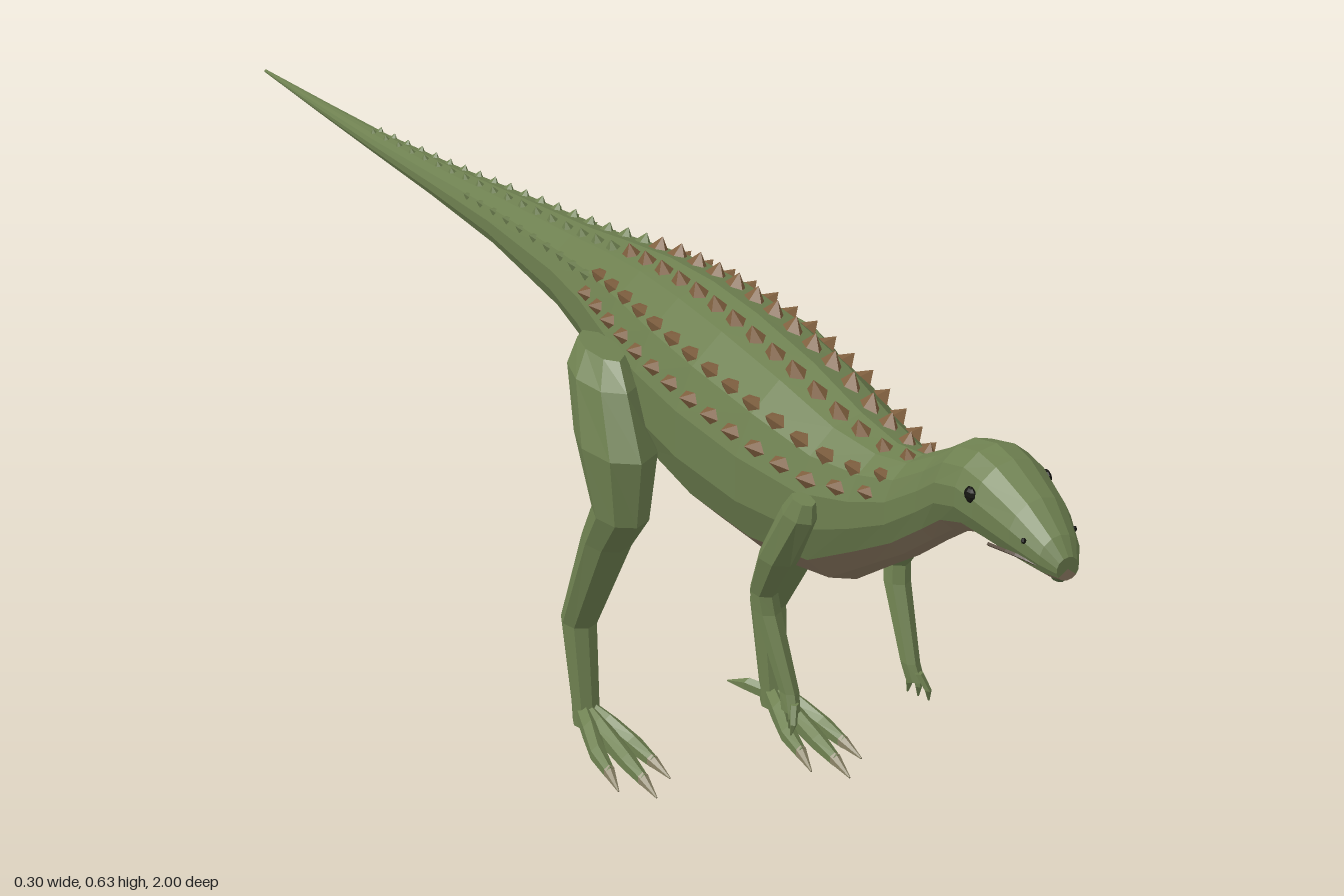
import * as THREE from 'three';
import { mergeGeometries } from 'three/addons/utils/BufferGeometryUtils.js';

const mat = (color) => new THREE.MeshStandardMaterial({ color, flatShading: true });
const SKIN = mat(0x6e8050), BELLY = mat(0x8a7860), SCUTE = mat(0x80603f);
const CLAW = mat(0x8c8468), BEAK = mat(0x5f6f45), DARK = mat(0x14140f), MOUTH = mat(0x4a3a28);

// Body sections from snout to tail tip: z, bottom, top, half width
const BODY = [
  [1, .548, .572, .012], [.985, .545, .588, .022], [.95, .543, .61, .034],
  [.9, .54, .627, .043], [.87, .537, .63, .045], [.83, .52, .618, .043],
  [.79, .49, .59, .038], [.74, .45, .56, .043], [.69, .415, .55, .056],
  [.62, .365, .552, .074], [.52, .34, .565, .09], [.4, .333, .57, .097],
  [.3, .342, .567, .095], [.2, .367, .555, .083], [.1, .393, .535, .065],
  [0, .405, .513, .051], [-.2, .408, .478, .036], [-.4, .397, .442, .025],
  [-.6, .382, .41, .016], [-.8, .368, .384, .009], [-1, .355, .359, .002],
];
const SIDES = 14;

// Skins elliptical rings [x, y, z, ra, rb]; upright rings run towards -z, level rings towards -y
function loft(rings, sides, level = false, from = 0, to = sides) {
  const pos = [], idx = [], n = to - from + 1;
  for (const [x, y, z, ra, rb] of rings) {
    for (let j = from; j <= to; j++) {
      const a = (j / sides) * Math.PI * 2, u = ra * Math.sin(a), v = rb * Math.cos(a);
      if (level) pos.push(x + u, y, z + v);
      else pos.push(x + u, y - v, z);
    }
  }
  const last = (rings.length - 1) * n, c = rings.length * n;
  pos.push(...rings[0].slice(0, 3), ...rings[rings.length - 1].slice(0, 3));
  for (let j = 0; j < n - 1; j++) {
    for (let i = 0; i < rings.length - 1; i++) {
      const a = i * n + j, b = a + n;
      idx.push(a, b, b + 1, a, b + 1, a + 1);
    }
    idx.push(c, j, j + 1, c + 1, last + j + 1, last + j);
  }
  const g = new THREE.BufferGeometry();
  g.setAttribute('position', new THREE.Float32BufferAttribute(pos, 3));
  g.setIndex(idx);
  g.computeVertexNormals();
  return g;
}

function add(parent, name, geometry, material) {
  const m = new THREE.Mesh(geometry, material);
  m.name = name;
  parent.add(m);
  return m;
}

// Body section at any z
function sectionAt(z) {
  let i = 0;
  while (i < BODY.length - 2 && BODY[i + 1][0] > z) i++;
  const a = BODY[i], b = BODY[i + 1], t = (z - a[0]) / (b[0] - a[0]);
  const [bottom, top, w] = [1, 2, 3].map((k) => a[k] + (b[k] - a[k]) * t);
  return { y: (bottom + top) / 2, h: (top - bottom) / 2, w };
}

// One row of keeled scutes at an angle from the spine
function scuteRow(angle, z0, z1, step, size) {
  const list = [];
  for (let z = z0; z > z1; z -= step) {
    const s = sectionAt(z), k = size * (0.4 + 0.6 * Math.min(1, s.w / 0.07));
    const normal = new THREE.Vector3(Math.sin(angle) / s.w, Math.cos(angle) / s.h, 0).normalize();
    const q = new THREE.Quaternion().setFromUnitVectors(new THREE.Vector3(0, 1, 0), normal);
    const g = new THREE.ConeGeometry(k, k * 1.3, 5);
    g.scale(0.85, 1, 1.3);
    g.applyQuaternion(q);
    g.translate(s.w * Math.sin(angle) + normal.x * k * .3, s.y + s.h * Math.cos(angle) + normal.y * k * .3, z);
    list.push(g);
  }
  return mergeGeometries(list);
}

function buildLeg(s) {
  const leg = new THREE.Group();
  leg.name = s > 0 ? 'leftLeg' : 'rightLeg';
  add(leg, 'thighAndShin', loft([
    [.105 * s, .49, .25, .018, .045], [.11 * s, .465, .265, .032, .058], [.112 * s, .4, .3, .04, .062],
    [.112 * s, .32, .312, .029, .04], [.11 * s, .27, .275, .026, .034],
    [.105 * s, .13, .195, .02, .024], [.105 * s, .03, .212, .016, .018], [.105 * s, .008, .215, .016, .018],
  ], 8, true), SKIN);
  // Three forward toes, each ending in a claw
  for (const [dx, reach] of [[-.03, .36], [0, .39], [.03, .36]]) {
    const x = (t) => .105 * s + dx * t;
    add(leg, 'toe', loft([
      [x(.9), .01, reach - .03, .006, .008], [x(.75), .013, reach - .07, .01, .011],
      [x(.4), .018, .25, .011, .015], [x(0), .024, .2, .01, .013],
    ], 6), SKIN);
    add(leg, 'toeClaw', loft([
      [x(1.05), .005, reach, .001, .001], [x(.88), .011, reach - .034, .007, .008],
    ], 6), CLAW);
  }
  // Small inner toe pointing back
  add(leg, 'hindToe', loft([
    [.1 * s, .022, .215, .009, .01], [.086 * s, .024, .19, .008, .009], [.074 * s, .017, .16, .001, .001],
  ], 6), SKIN);
  leg.position.z = s > 0 ? .05 : -.005;
  return leg;
}

function buildArm(s) {
  const arm = new THREE.Group();
  arm.name = s > 0 ? 'leftArm' : 'rightArm';
  add(arm, 'armTube', loft([
    [.078 * s, .485, .645, .01, .018], [.079 * s, .465, .638, .015, .026], [.08 * s, .4, .6, .02, .025],
    [.078 * s, .345, .567, .014, .018], [.076 * s, .325, .572, .014, .017],
    [.071 * s, .25, .613, .01, .012], [.073 * s, .232, .62, .009, .014],
  ], 7, true), SKIN);
  for (let i = -1; i <= 1; i++) {
    add(arm, 'finger', loft([
      [.073 * s, .242, .62 + i * .008, .005, .005],
      [(.075 + i * .004) * s, .225, .626 + i * .012, .004, .004],
      [(.076 + i * .005) * s, .212, .624 + i * .013, .001, .001],
    ], 5, true), SKIN);
  }
  return arm;
}

export function createModel() {
  const model = new THREE.Group();
  model.name = 'dinosaur';

  // Green back and flanks, with a tan underside reaching under the tail
  const rings = BODY.map(([z, b, t, w]) => [0, (b + t) / 2, z, w, (t - b) / 2]);
  const tailStart = BODY.findIndex((r) => r[0] === -.4);
  add(model, 'bodyAndHead', loft(rings, SIDES, false, 2, SIDES - 2), SKIN);
  add(model, 'belly', loft(rings.slice(0, tailStart + 1), SIDES, false, -2, 2), BELLY);
  add(model, 'tailUnderside', loft(rings.slice(tailStart), SIDES, false, -2, 2), SKIN);

  // Beak
  const beak = add(model, 'beak', new THREE.SphereGeometry(1, 8, 6), BEAK);
  beak.scale.set(.012, .016, .014);
  beak.position.set(0, .557, .986);

  for (const s of [1, -1]) {
    // Face
    const eye = add(model, 'eye', new THREE.SphereGeometry(.008, 8, 6), DARK);
    eye.position.set(.041 * s, .596, .893);
    eye.scale.x = .6;
    const nostril = add(model, 'nostril', new THREE.SphereGeometry(.003, 6, 4), DARK);
    nostril.position.set(.027 * s, .579, .966);
    const lip = new THREE.CatmullRomCurve3([
      new THREE.Vector3(.015 * s, .558, .99), new THREE.Vector3(.028 * s, .56, .958),
      new THREE.Vector3(.036 * s, .556, .92),
    ]);
    add(model, 'mouthLine', new THREE.TubeGeometry(lip, 6, .002, 4), MOUTH);

    // Armour rows; the upper ones run on along the tail
    add(model, 'backScutes', scuteRow(.24 * s, .73, .12, .042, .013), SCUTE);
    add(model, 'flankScutesUpper', scuteRow(.82 * s, .72, .12, .042, .013), SCUTE);
    add(model, 'flankScutesLower', scuteRow(1.17 * s, .71, .12, .042, .012), SCUTE);
    add(model, 'tailScutes', scuteRow(.3 * s, .1, -.62, .042, .011), SKIN);
    add(model, 'tailSideScutes', scuteRow(.95 * s, .1, -.3, .042, .01), SKIN);

    model.add(buildLeg(s), buildArm(s));
  }
  return model;
}
